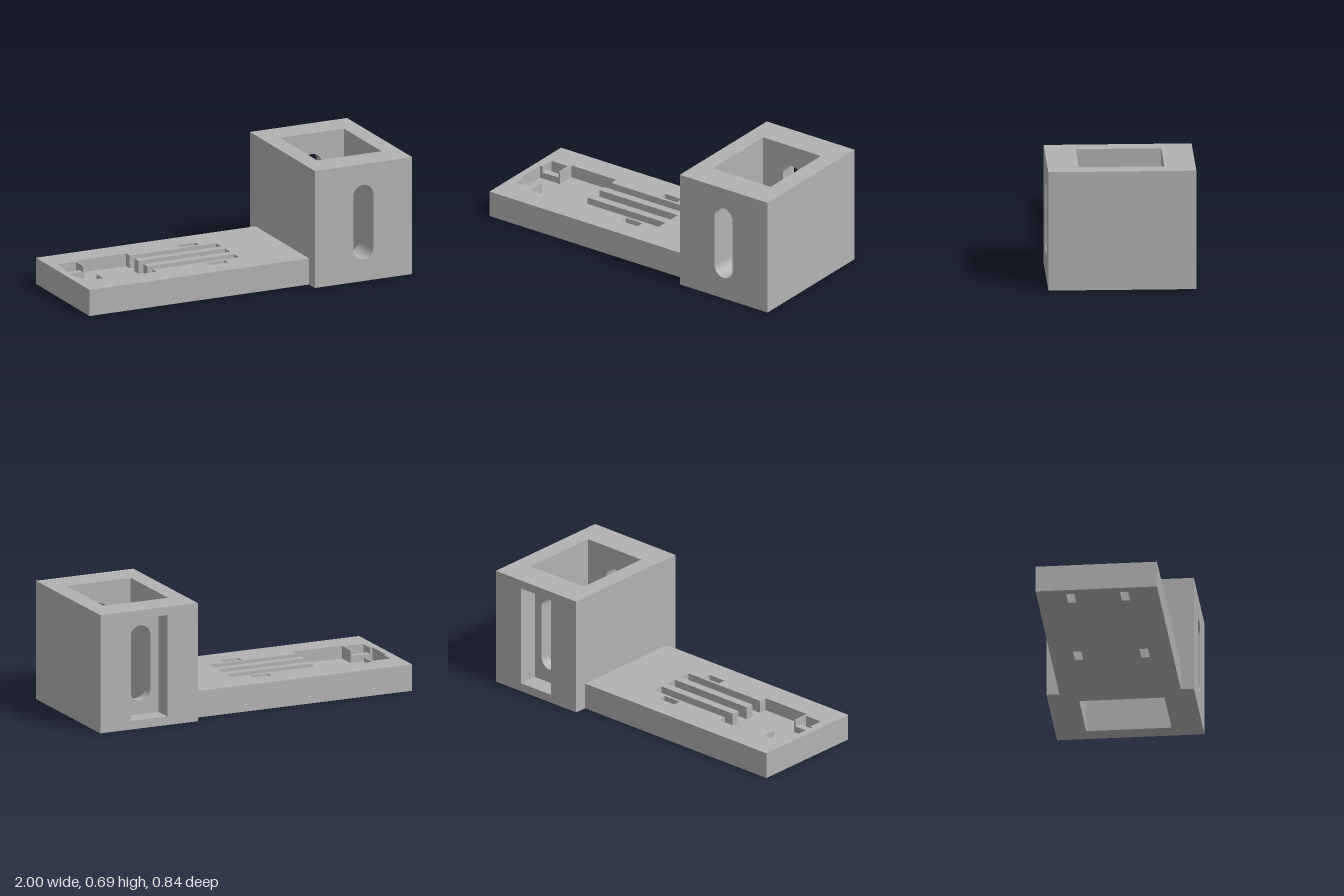
import * as THREE from 'three';

const gray = new THREE.MeshStandardMaterial({ color: 0xb2b2b2 });
gray.name = 'gray plastic';

const points = (list) => list.map(([x, y]) => new THREE.Vector2(x, y));
const rect = (x0, x1, y0, y1) => points([[x0, y0], [x1, y0], [x1, y1], [x0, y1]]);

// Closed outline from one half, mirrored across the centre line
const mirrored = (half) => points([...half, ...half.map(([x, y]) => [x, -y]).reverse()]);

// Upright rounded slot
function slot(cx, y0, y1, r) {
  const path = new THREE.Path();
  path.absarc(cx, y1 - r, r, 0, Math.PI, false);
  path.absarc(cx, y0 + r, r, Math.PI, Math.PI * 2, false);
  path.closePath();
  return path;
}

function slab(outline, holes, from, to) {
  const shape = new THREE.Shape(outline);
  shape.holes = holes.map((h) => (Array.isArray(h) ? new THREE.Path(h) : h));
  const geometry = new THREE.ExtrudeGeometry(shape, { depth: to - from, bevelEnabled: false, curveSegments: 20 });
  return geometry.translate(0, 0, from);
}

export function createModel() {
  const model = new THREE.Group();
  model.name = 'mountingBracket';
  const add = (parent, name, geometry) => {
    const mesh = new THREE.Mesh(geometry, gray);
    mesh.name = name;
    parent.add(mesh);
  };

  // Base plate: stacked layers with tie holes, pocket and wire channels
  const plate = new THREE.Group();
  plate.name = 'basePlate';
  model.add(plate);
  const plateOutline = rect(-1, 0.386, -0.346, 0.346);
  const pairs = (x0, x1, z0, z1) => [rect(x0, x1, z0, z1), rect(x0, x1, -z1, -z0)];
  const innerHoles = pairs(-0.175, -0.06, 0.166, 0.213);
  const endHoles = pairs(-0.945, -0.83, 0.13, 0.176);
  const channels = [
    [0.04, 0.034], [-0.505, 0.034], [-0.505, 0.083], [0.04, 0.083], [0.04, 0.148],
    [-0.505, 0.148], [-0.505, 0.196], [-0.82, 0.196], [-0.82, 0.088],
  ];
  const pocket = mirrored([...channels, [-0.96, 0.088]]);
  const pocketWithLedges = mirrored([
    ...channels, [-0.83, 0.088], [-0.83, 0.176], [-0.945, 0.176], [-0.945, 0.088], [-0.96, 0.088],
  ]);
  const layers = [
    ['plateFloor', [...innerHoles, ...endHoles], 0, 0.08],
    ['plateMiddle', [...innerHoles, ...endHoles, pocket], 0.08, 0.118],
    ['plateTop', [...innerHoles, pocketWithLedges], 0.118, 0.155],
  ];
  for (const [name, holes, from, to] of layers) {
    add(plate, name, slab(plateOutline, holes, from, to).rotateX(-Math.PI / 2));
  }

  // Open square housing with a slotted front and a recessed, slotted back
  const housing = new THREE.Group();
  housing.name = 'housing';
  model.add(housing);
  const H = 0.694;
  const wall = rect(0.386, 1, 0, H);
  const wallSlot = () => slot(0.692, 0.13, 0.57, 0.063);
  add(housing, 'frontWall', slab(wall, [wallSlot()], 0.243, 0.42));
  add(housing, 'backInnerWall', slab(wall, [wallSlot()], -0.305, -0.243));
  add(housing, 'backOuterFrame', slab(wall, [rect(0.578, 0.806, 0.05, 0.645)], -0.42, -0.305));
  add(housing, 'innerSideWall', slab(rect(0.386, 0.488, 0, H), [], -0.243, 0.243));
  add(housing, 'outerSideWall', slab(rect(0.894, 1, 0, H), [], -0.243, 0.243));

  return model;
}
